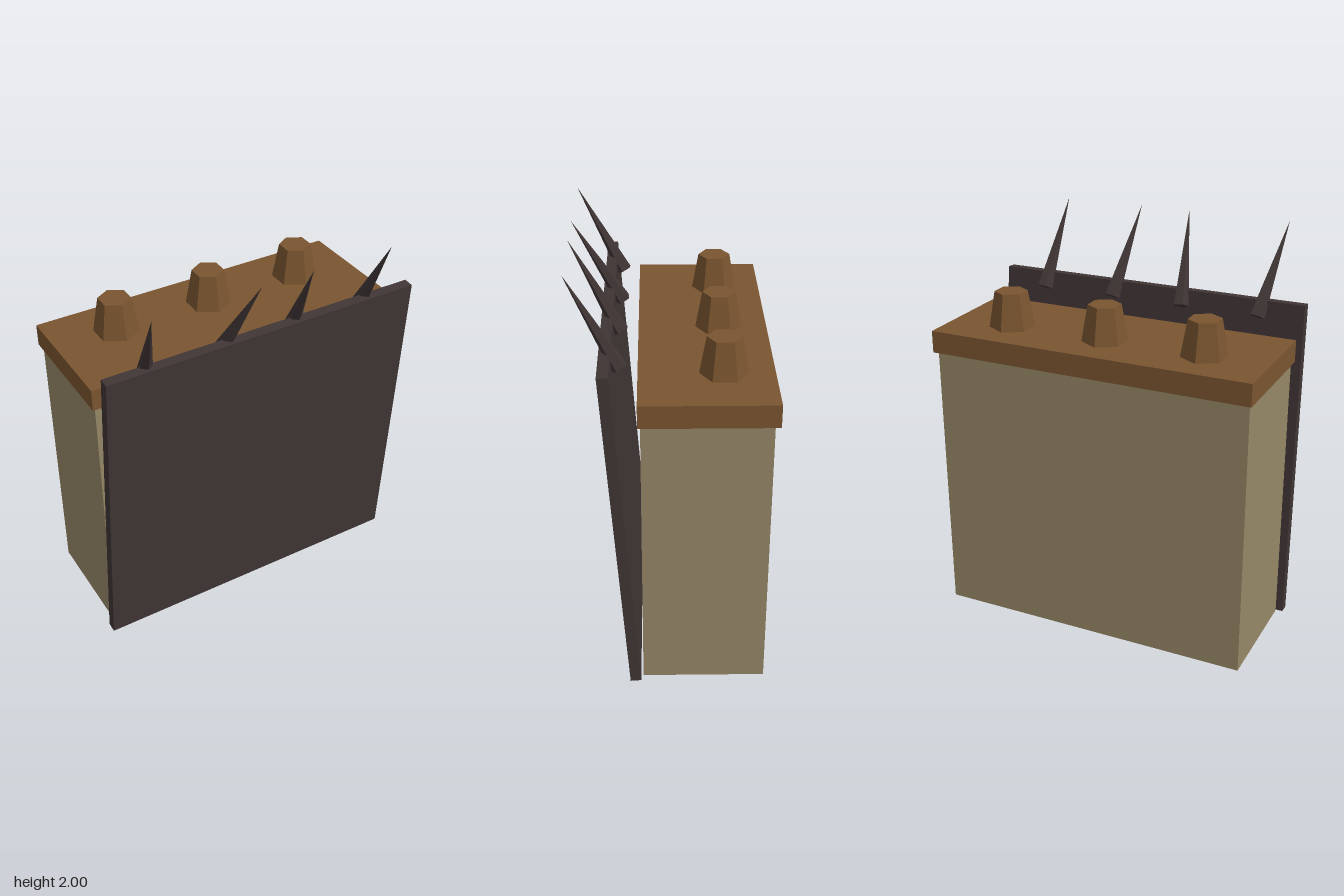
import * as THREE from 'three';

const flat = (name, color) => {
  const m = new THREE.MeshStandardMaterial({ color, flatShading: true });
  m.name = name;
  return m;
};

export function createModel() {
  const group = new THREE.Group();
  const stone = flat('tan stone', 0x968867);
  const wood = flat('brown wood', 0x7a5530);
  const iron = flat('dark iron', 0x403535);

  const add = (name, geometry, material, x, y, z) => {
    const mesh = new THREE.Mesh(geometry, material);
    mesh.name = name;
    mesh.position.set(x, y, z);
    group.add(mesh);
    return mesh;
  };

  // Block with an overhanging cap
  add('body', new THREE.BoxGeometry(1.61, 1.393, 0.585), stone, 0, 0.7035, -0.152);
  add('cap', new THREE.BoxGeometry(1.64, 0.11, 0.622), wood, 0, 1.455, -0.158);

  // Row of six-sided studs on the cap
  const studGeometry = new THREE.CylinderGeometry(0.08, 0.112, 0.18, 6);
  [-0.505, 0, 0.505].forEach((x, i) =>
    add(`stud${i + 1}`, studGeometry, wood, x, 1.6, -0.235));

  // Leaning front panel, slightly narrower at the top
  const panelGeometry = new THREE.BoxGeometry(1.676, 1.645, 0.052);
  const p = panelGeometry.attributes.position;
  for (let i = 0; i < p.count; i++) if (p.getY(i) > 0) p.setX(i, p.getX(i) * 0.977);
  panelGeometry.computeVertexNormals();
  add('frontPanel', panelGeometry, iron, 0, 0.823, 0.237).rotation.x = 0.073;

  // Five-sided spikes leaning out over the panel: base x, tip x
  const up = new THREE.Vector3(0, 1, 0);
  [[-0.592, -0.66], [-0.193, -0.133], [0.188, 0.13], [0.578, 0.55]].forEach(([bx, tx], i) => {
    const base = new THREE.Vector3(bx, 1.573, 0.231);
    const tip = new THREE.Vector3(tx, 2, 0.47);
    const axis = tip.clone().sub(base);
    const mid = base.clone().add(tip).multiplyScalar(0.5);
    const cone = new THREE.ConeGeometry(0.04, axis.length(), 5);
    add(`spike${i + 1}`, cone, iron, mid.x, mid.y, mid.z)
      .quaternion.setFromUnitVectors(up, axis.normalize());
  });

  return group;
}
